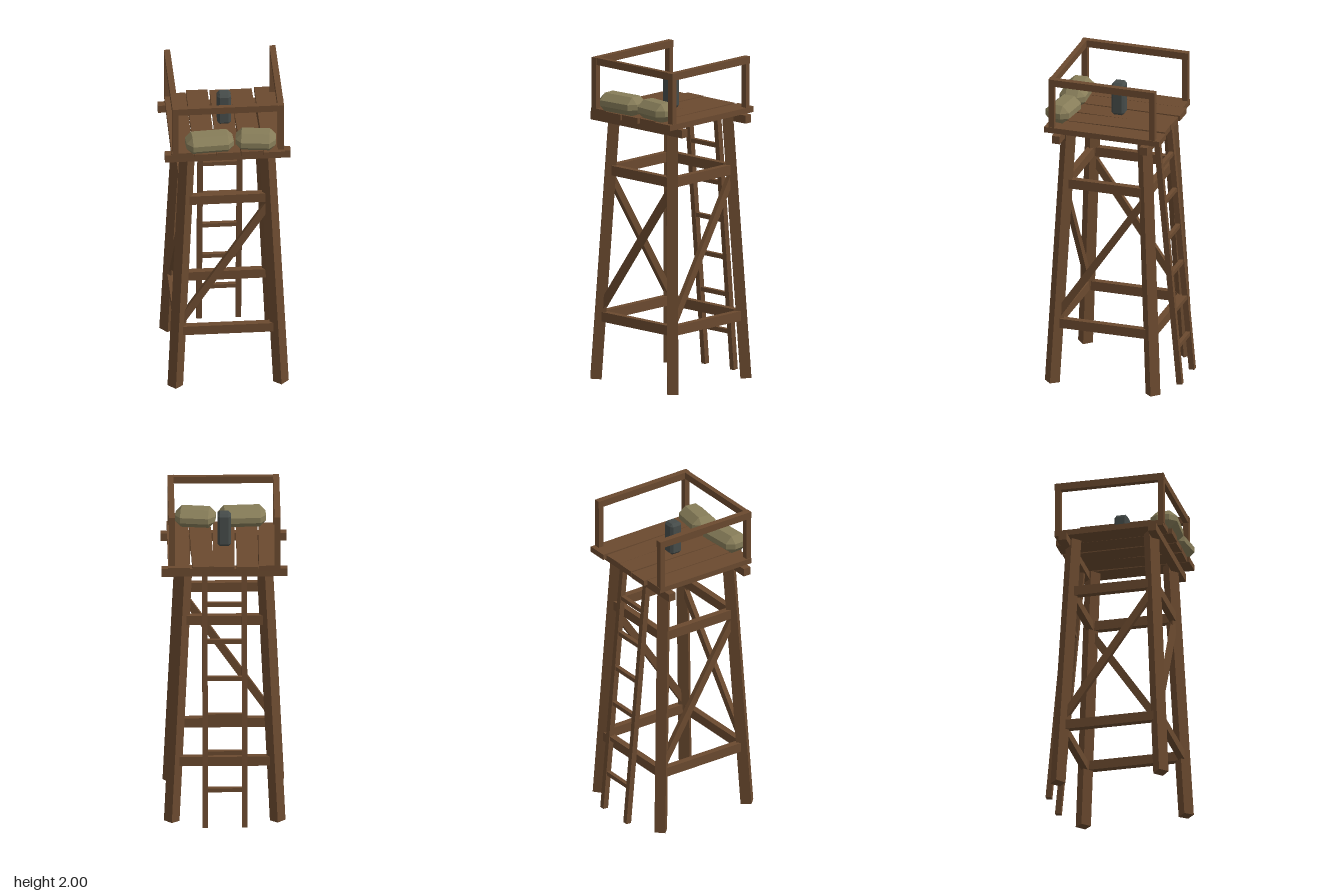
import * as THREE from 'three';
import { ConvexGeometry } from 'three/addons/geometries/ConvexGeometry.js';

const V = (x, y, z) => new THREE.Vector3(x, y, z);

export function createModel() {
  const model = new THREE.Group();
  model.name = 'watchtower';

  const material = (name, color) => {
    const m = new THREE.MeshStandardMaterial({ color });
    m.name = name;
    return m;
  };
  const wood = material('wood', 0x6b4a2f);
  const burlap = material('burlap', 0x877d59);
  const metal = material('darkMetal', 0x464c4a);

  const add = (name, geometry, mat, parent = model) => {
    const mesh = new THREE.Mesh(geometry, mat);
    mesh.name = name;
    parent.add(mesh);
    return mesh;
  };
  const box = (name, w, h, d, x, y, z, parent) => {
    const mesh = add(name, new THREE.BoxGeometry(w, h, d), wood, parent);
    mesh.position.set(x, y, z);
    return mesh;
  };
  const group = (name) => {
    const g = new THREE.Group();
    g.name = name;
    model.add(g);
    return g;
  };

  // Straight timber from a to b; normal is the side its thickness faces
  const beam = (name, a, b, height, thickness, normal, parent) => {
    const x = b.clone().sub(a);
    const length = x.length();
    x.normalize();
    const z = normal.clone().addScaledVector(x, -normal.dot(x)).normalize();
    const y = z.clone().cross(x);
    const mesh = add(name, new THREE.BoxGeometry(length, height, thickness), wood, parent);
    mesh.quaternion.setFromRotationMatrix(new THREE.Matrix4().makeBasis(x, y, z));
    mesh.position.copy(a).lerp(b, 0.5);
    return mesh;
  };

  // Box with every edge and corner cut off
  const chamferedBox = (w, h, d, cx, cy, cz) => {
    const points = [];
    for (const i of [-1, 1]) for (const j of [-1, 1]) for (const k of [-1, 1]) {
      const X = w / 2, Y = h / 2, Z = d / 2;
      points.push(
        V(i * X, j * (Y - cy), k * (Z - cz)),
        V(i * (X - cx), j * Y, k * (Z - cz)),
        V(i * (X - cx), j * (Y - cy), k * Z));
    }
    return new ConvexGeometry(points);
  };

  // Legs: leaning square posts set corner-on
  const midZ = 0.023;
  const legAt = (sx, sz, y) => {
    const t = y / 1.6;
    return V(sx * (0.322 - 0.077 * t), y, midZ + sz * (0.322 - 0.077 * t));
  };
  const legs = group('legs');
  for (const sx of [-1, 1]) for (const sz of [-1, 1]) {
    const a = legAt(sx, sz, 0.002), b = legAt(sx, sz, 1.65);
    const geometry = new THREE.CylinderGeometry(0.0475, 0.0475, a.distanceTo(b), 4).toNonIndexed();
    geometry.computeVertexNormals();
    const leg = add('leg', geometry, wood, legs);
    leg.position.copy(a).lerp(b, 0.5);
    leg.quaternion.setFromUnitVectors(V(0, 1, 0), b.clone().sub(a).normalize());
  }

  // Horizontal ties on all four sides
  const bracing = group('bracing');
  for (const y of [0.39, 1.3]) for (const s of [-1, 1]) {
    beam('crossTie', legAt(-1, s, y), legAt(1, s, y), 0.06, 0.04, V(0, 0, 1), bracing);
    beam('sideTie', legAt(s, -1, y), legAt(s, 1, y), 0.06, 0.04, V(1, 0, 0), bracing);
  }

  // One diagonal on the front and on each side
  beam('frontBrace', legAt(-1, 1, 0.43), legAt(1, 1, 1.265), 0.045, 0.03, V(0, 0, 1), bracing);
  for (const s of [-1, 1])
    beam('sideBrace', legAt(s, s, 0.43), legAt(s, -s, 1.265), 0.045, 0.03, V(1, 0, 0), bracing);

  // Ladder leaning against the back
  const ladder = group('ladder');
  const ladderZ = (y) => -0.405 + 0.091 * y;
  for (const s of [-1, 1])
    beam('ladderRail', V(s * 0.12, 0.003, ladderZ(0)), V(s * 0.12, 1.65, ladderZ(1.65)),
      0.033, 0.035, V(0, 0, 1), ladder);
  for (let i = 0; i < 6; i++) {
    const y = 0.24 + i * 0.235;
    box('ladderRung', 0.26, 0.026, 0.026, 0, y, ladderZ(y), ladder);
  }

  // Platform: two joists carrying five uneven planks
  const platform = group('platform');
  for (const s of [-1, 1]) box('joist', 0.765, 0.05, 0.05, 0, 1.625, midZ + s * 0.28, platform);
  const planks = [
    // x, length, twist
    [-0.276, 0.68, -0.01], [-0.14, 0.726, -0.004], [0.001, 0.712, -0.015],
    [0.137, 0.708, 0.02], [0.278, 0.736, 0],
  ];
  planks.forEach(([x, length, twist], i) => {
    // tiny height steps keep overlapping planks apart
    box('plank', 0.131, 0.035, length, x, 1.6665 + (i % 2) * 0.001, midZ, platform).rotation.y = twist;
  });

  // Guard rail, open at the back
  const guard = group('guardRail');
  for (const s of [-1, 1]) {
    for (const z of [-0.297, 0.347]) box('railPost', 0.037, 0.3, 0.035, s * 0.321, 1.82, z, guard);
    box('sideRail', 0.037, 0.044, 0.68, s * 0.321, 1.978, 0.025, guard);
  }
  box('frontRail', 0.605, 0.044, 0.03, 0, 1.978, 0.346, guard);

  // Sandbags along the front edge
  const sandbags = group('sandbags');
  for (const [x, z, length, width, turn] of [
    [-0.113, 0.331, 0.29, 0.165, 0.065], [0.17, 0.325, 0.245, 0.16, -0.125]]) {
    const bag = add('sandbag', chamferedBox(length, 0.115, width, 0.037, 0.04, 0.045), burlap, sandbags);
    bag.position.set(x, 1.742, z);
    bag.rotation.y = turn;
  }

  // Upright canister in the middle of the deck
  add('canister', chamferedBox(0.083, 0.21, 0.083, 0.015, 0.016, 0.015), metal)
    .position.set(-0.001, 1.789, midZ);

  return model;
}
